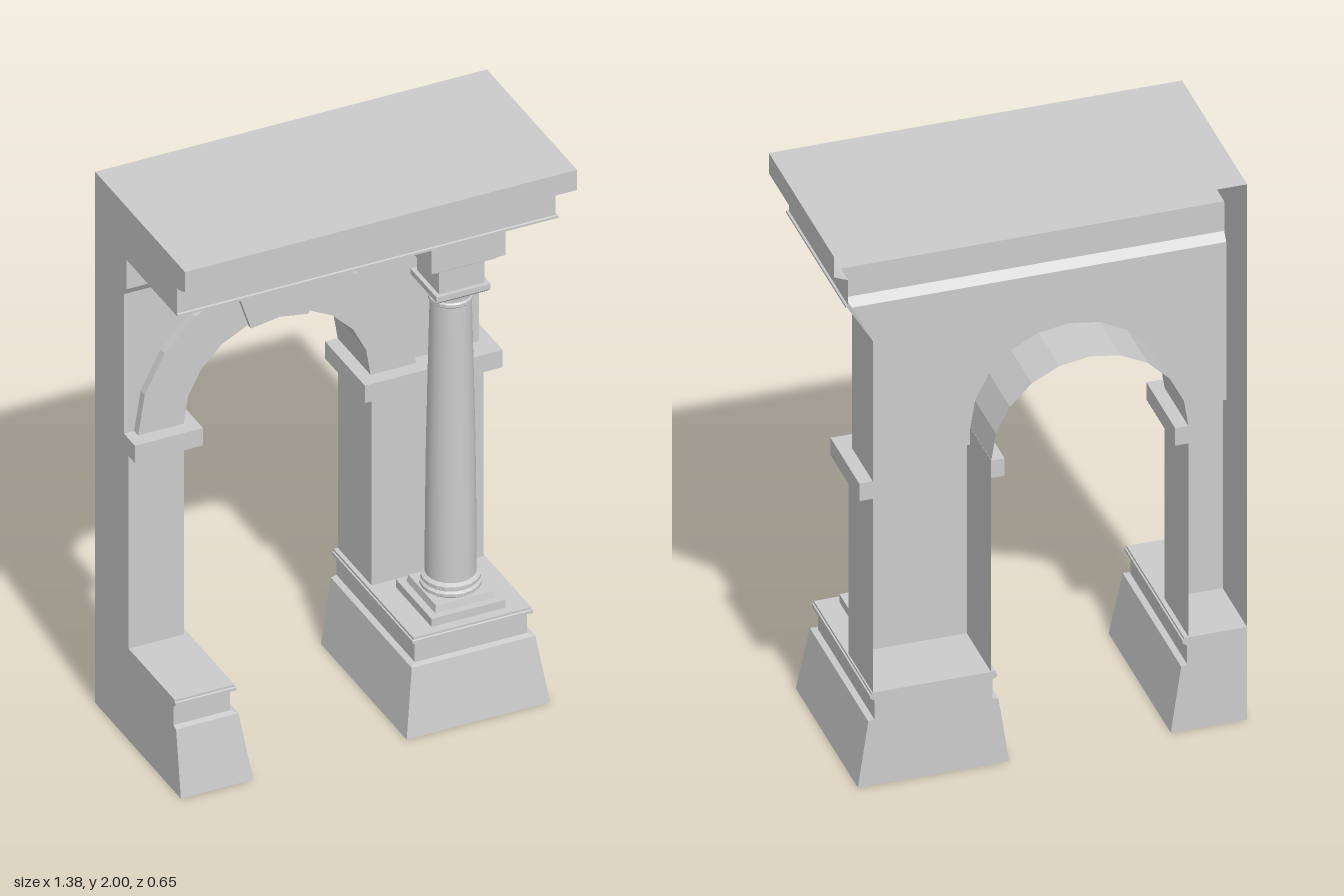
import * as THREE from 'three';

const BACK = -0.33, CUT = -0.69;           // open back plane, flat cut end
const PIER_Z = -0.085, WALL_Z = -0.12;     // front faces of piers and upper wall
const ARCH = { x: -0.165, y: 1.13, r: 0.33, R: 0.49, n: 10 };

const flat = new THREE.MeshStandardMaterial({ color: 0xcccccc, flatShading: true, side: THREE.DoubleSide });
const smooth = new THREE.MeshStandardMaterial({ color: 0xcccccc, side: THREE.DoubleSide });

function add(parent, name, geometry, material = flat) {
  const mesh = new THREE.Mesh(geometry, material);
  mesh.name = name;
  parent.add(mesh);
  return mesh;
}

function box(parent, name, x0, x1, y0, y1, z0, z1) {
  add(parent, name, new THREE.BoxGeometry(x1 - x0, y1 - y0, z1 - z0))
    .position.set((x0 + x1) / 2, (y0 + y1) / 2, (z0 + z1) / 2);
}

// Stacked rectangles [y, x0, x1, z0, z1]; faces picks F, R, B, L sides, T top, U underside
function loft(layers, faces = 'FRBLTU') {
  const pos = [];
  const quad = (a, b, c, d) => pos.push(...a, ...b, ...c, ...a, ...c, ...d);
  const rings = layers.map(([y, x0, x1, z0, z1]) => [[x0, y, z1], [x1, y, z1], [x1, y, z0], [x0, y, z0]]);
  for (let i = 0; i + 1 < rings.length; i++) {
    const a = rings[i], b = rings[i + 1];
    [...'FRBL'].forEach((side, k) => {
      const m = (k + 1) % 4;
      if (faces.includes(side)) quad(a[k], a[m], b[m], b[k]);
    });
  }
  const low = rings[0], top = rings[rings.length - 1];
  if (faces.includes('T')) quad(...top);
  if (faces.includes('U')) quad(low[3], low[2], low[1], low[0]);
  const g = new THREE.BufferGeometry();
  g.setAttribute('position', new THREE.Float32BufferAttribute(pos, 3));
  g.computeVertexNormals();
  return g;
}

const arcPoint = (r, deg) => {
  const a = THREE.MathUtils.degToRad(deg);
  return new THREE.Vector2(ARCH.x + r * Math.cos(a), ARCH.y + r * Math.sin(a));
};
const arc = (r, from, to) => {
  const points = [], step = 180 / ARCH.n;
  for (let d = from; d <= to + 0.01; d += step) points.push(arcPoint(r, d));
  return points;
};

// Segment of the arch ring, projecting from the wall
function voussoir(parent, name, from, to, r, z) {
  const shape = new THREE.Shape([...arc(r, from, to), ...arc(ARCH.R, from, to).reverse()]);
  const g = new THREE.ExtrudeGeometry(shape, { depth: z - WALL_Z, bevelEnabled: false });
  add(parent, name, g).position.z = WALL_Z;
}

// Battered pedestal with dado and cap; the left one is cut flat at its outer end
function pedestal(parent, name, x0, x1, cut) {
  const profile = [[0, 0.055], [0.24, 0.02], [0.245, 0], [0.315, 0], [0.325, 0.015], [0.335, 0.015], [0.337, 0.01], [0.345, 0.01]];
  add(parent, name, loft(profile.map(([y, d]) => [y, cut ? x0 : x0 - d, x1 + d, BACK, 0.24 + d])));
}

function buildPiers(parent) {
  const left = new THREE.Group(), right = new THREE.Group();
  left.name = 'leftPier';
  right.name = 'rightPier';
  parent.add(left, right);
  const inL = ARCH.x - ARCH.r, inR = ARCH.x + ARCH.r, out = 0.56, o = 0.045;

  pedestal(left, 'leftPedestal', CUT, -0.49, true);
  pedestal(right, 'rightPedestal', 0.16, 0.555, false);

  // Hollow pier shafts, open behind
  add(left, 'leftShaft', loft([[0.345, CUT, inL, BACK, PIER_Z], [1.13, CUT, inL, BACK, PIER_Z]], 'FRL'));
  add(right, 'rightShaft', loft([[0.345, inR, out, BACK, PIER_Z], [1.13, inR, out, BACK, PIER_Z]], 'FRL'));

  // Impost bands wrapped around the shafts
  const y0 = 1.07, y1 = 1.135, zf = PIER_Z + o;
  box(left, 'impostFront', CUT, inL + o, y0, y1, PIER_Z - 0.035, zf);
  box(left, 'impostReveal', inL, inL + o, y0, y1, BACK, PIER_Z);
  box(right, 'impostFront', inR - o, out + o, y0, y1, PIER_Z - 0.035, zf);
  box(right, 'impostReveal', inR - o, inR, y0, y1, BACK, PIER_Z);
  box(right, 'impostSide', out, out + o, y0, y1, BACK, PIER_Z);
}

function buildWall(parent) {
  // Thin front wall with the arched opening
  const shape = new THREE.Shape([
    new THREE.Vector2(CUT, ARCH.y), new THREE.Vector2(CUT, 1.66),
    new THREE.Vector2(0.56, 1.66), new THREE.Vector2(0.56, ARCH.y),
    ...arc(ARCH.r, 0, 180),
  ]);
  add(parent, 'archWall', new THREE.ShapeGeometry(shape)).position.z = WALL_Z;
  add(parent, 'wallEnds', loft([[1.13, CUT, 0.56, BACK, WALL_Z], [1.66, CUT, 0.56, BACK, WALL_Z]], 'RL'));

  // Arch soffit running to the back
  const depth = WALL_Z - BACK;
  const barrel = new THREE.CylinderGeometry(ARCH.r, ARCH.r, depth, ARCH.n, 1, true, Math.PI / 2, Math.PI);
  barrel.rotateX(Math.PI / 2);
  add(parent, 'archSoffit', barrel).position.set(ARCH.x, ARCH.y, BACK + depth / 2);

  voussoir(parent, 'archRingRight', 0, 72, ARCH.r, -0.09);
  voussoir(parent, 'archRingLeft', 108, 180, ARCH.r, -0.09);
  voussoir(parent, 'keystone', 72, 108, ARCH.r - 0.003, -0.07);
}

function buildEntablature(parent) {
  add(parent, 'frieze', loft([
    [1.66, CUT, 0.56, BACK, WALL_Z], [1.69, CUT, 0.578, BACK, -0.1], [1.8, CUT, 0.645, BACK, -0.1],
  ], 'FRL'));
  add(parent, 'corniceSoffit', loft([[1.8, CUT, 0.65, -0.1, 0.272]], 'U'));
  // Hollow cornice, open behind
  const profile = [[1.8, 0.65, 0.272], [1.808, 0.65, 0.272], [1.81, 0.643, 0.266], [1.905, 0.643, 0.266],
    [1.908, 0.655, 0.285], [1.922, 0.685, 0.32], [1.924, 0.69, 0.325], [2, 0.69, 0.325]];
  add(parent, 'cornice', loft(profile.map(([y, x, z]) => [y, CUT, x, BACK, z]), 'FRLT'));
}

function buildColumn(parent) {
  const column = new THREE.Group();
  column.name = 'column';
  column.position.set(0.36, 0, 0.088);
  parent.add(column);
  const square = (name, ...layers) =>
    add(column, name, loft(layers.map(([y, h]) => [y, -h, h, -h, h])));
  const lathe = (name, points, material) =>
    add(column, name, new THREE.LatheGeometry(points.map(([r, y]) => new THREE.Vector2(r, y)), 20), material);

  square('plinth', [0.343, 0.13], [0.375, 0.13]);
  square('plinthStep', [0.375, 0.105], [0.4, 0.1]);
  lathe('baseRings', [[0.09, 0.4], [0.099, 0.407], [0.099, 0.418], [0.09, 0.424], [0.09, 0.428],
    [0.097, 0.433], [0.097, 0.444], [0.082, 0.452]], flat);
  lathe('shaft', [[0.083, 0.45], [0.083, 0.6], [0.08, 0.9], [0.074, 1.2], [0.067, 1.5]], smooth);
  lathe('neckRings', [[0.067, 1.475], [0.072, 1.48], [0.072, 1.49], [0.067, 1.495], [0.067, 1.505],
    [0.074, 1.51], [0.078, 1.53]], flat);
  square('abacus', [1.525, 0.085], [1.535, 0.095], [1.555, 0.095]);
  square('impostBlock', [1.555, 0.08], [1.64, 0.08]);
  square('blockMoulding', [1.64, 0.085], [1.655, 0.108], [1.675, 0.112]);
  square('entablatureBlock', [1.673, 0.13], [1.8, 0.13]);
}

export function createModel() {
  const model = new THREE.Group();
  model.name = 'arcadeBay';
  buildPiers(model);
  buildWall(model);
  buildEntablature(model);
  buildColumn(model);
  return model;
}
